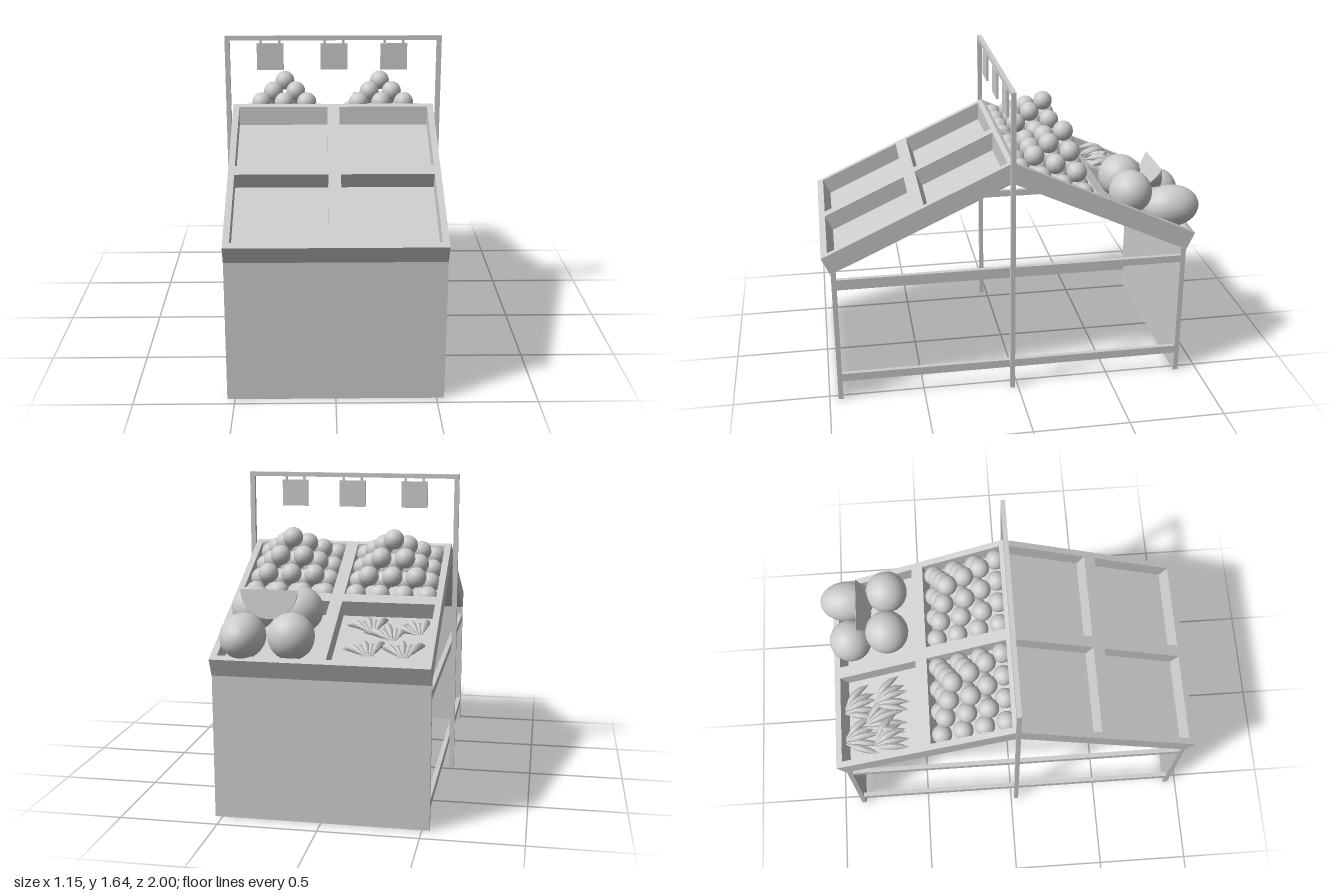
import * as THREE from 'three';

const RIDGE_Y = 1.27, RIDGE_Z = 0.0275, WIDTH = 1.076;
const TILT = Math.atan(0.464), LENGTH = 1.07, CAVITY = 0.09, FLOOR = 0.01;
const mat = new THREE.MeshStandardMaterial({ color: 0xcccccc });
const openMat = new THREE.MeshStandardMaterial({ color: 0xcccccc, side: THREE.DoubleSide });

function add(parent, name, geometry, x = 0, y = 0, z = 0, material = mat) {
  const mesh = new THREE.Mesh(geometry, material);
  mesh.name = name;
  mesh.position.set(x, y, z);
  parent.add(mesh);
  return mesh;
}

// Box given by its limits on each axis
function box(parent, name, [x0, x1], [y0, y1], [z0, z1]) {
  return add(parent, name, new THREE.BoxGeometry(x1 - x0, y1 - y0, z1 - z0),
    (x0 + x1) / 2, (y0 + y1) / 2, (z0 + z1) / 2);
}

function rectangle(target, x0, x1, y0, y1) {
  return target.moveTo(x0, y0).lineTo(x1, y0).lineTo(x1, y1).lineTo(x0, y1).closePath();
}

// Cut the ridge end vertical so that both trays meet in a clean mitre
function mitre(geometry) {
  const p = geometry.attributes.position;
  for (let i = 0; i < p.count; i++) {
    if (p.getZ(i) < 0.03) p.setZ(i, p.getZ(i) - p.getY(i) * Math.tan(TILT));
  }
  geometry.computeVertexNormals();
  return geometry;
}

// Sloping tray: local z runs downhill from the ridge, local y is its normal
function makeTray(name) {
  const tray = new THREE.Group();
  tray.name = name;
  tray.position.set(0, RIDGE_Y, RIDGE_Z);
  const shape = rectangle(new THREE.Shape(), -WIDTH / 2, WIDTH / 2, 0, LENGTH);
  for (const [x0, x1] of [[-0.505, -0.032], [0.032, 0.505]]) {
    for (const [u0, u1] of [[0.025, 0.493], [0.56, 1.034]]) {
      shape.holes.push(rectangle(new THREE.Path(), x0, x1, u0, u1));
    }
  }
  const frame = new THREE.ExtrudeGeometry(shape, { depth: CAVITY, bevelEnabled: false });
  add(tray, 'trayFrame', mitre(frame.rotateX(Math.PI / 2)));
  const base = new THREE.BoxGeometry(WIDTH, FLOOR, LENGTH);
  add(tray, 'trayFloor', mitre(base.translate(0, -CAVITY - FLOOR / 2, LENGTH / 2)));
  return tray;
}

// Square pyramid of round fruit resting in a compartment
function fruitPile(parent, cx) {
  const pile = new THREE.Group();
  pile.name = 'fruitPile';
  const ball = new THREE.SphereGeometry(0.053, 16, 12);
  for (let layer = 0; layer < 4; layer++) {
    const n = 4 - layer;
    for (let i = 0; i < n; i++) {
      for (let j = 0; j < n; j++) {
        add(pile, 'roundFruit', ball, cx + (i - (n - 1) / 2) * 0.124,
          -0.037 + layer * 0.074, 0.256 + (j - (n - 1) / 2) * 0.124);
      }
    }
  }
  parent.add(pile);
}

// Curved, pointed fruit lying along +z
function longFruit(length) {
  const profile = [[0.004, 0], [0.007, 0.12], [0.017, 0.3], [0.02, 0.5], [0.016, 0.75], [0.001, 1]];
  const g = new THREE.LatheGeometry(
    profile.map(([r, t]) => new THREE.Vector2(r, t * length)), 7).rotateX(Math.PI / 2);
  g.scale(-1, -1, 1); // half turn about its own axis
  const p = g.attributes.position;
  for (let i = 0; i < p.count; i++) {
    p.setY(i, p.getY(i) + Math.sin(Math.PI * p.getZ(i) / length) * 0.025);
  }
  g.computeVertexNormals();
  return g;
}

// Fan of long fruit joined at the stem
function bunch(parent, x, z, length, turn) {
  const group = new THREE.Group();
  group.name = 'longFruitBunch';
  group.position.set(x, 0.005, z);
  const g = longFruit(length);
  for (let i = 0; i < 5; i++) {
    const fruit = add(group, 'longFruit', g, (2 - i) * 0.008, 0, 0, openMat);
    fruit.rotation.set(0.3 + 0.14 * (i % 2), Math.PI + turn + (i - 2) * 0.27, 0, 'YXZ');
  }
  parent.add(group);
}

// Wedge cut from a round melon, straight edge up
function melonSlice(parent) {
  const slice = new THREE.Group();
  slice.name = 'melonSlice';
  slice.position.set(0.275, 1.14, -0.78);
  const r = 0.143, start = -0.14, sweep = 0.65;
  const rind = new THREE.SphereGeometry(r, 8, 20, start, sweep).rotateZ(Math.PI / 2);
  add(slice, 'sliceRind', rind, 0, 0, 0, openMat);
  for (const a of [start, start + sweep]) {
    const face = new THREE.CircleGeometry(r, 20, Math.PI, Math.PI).rotateX(-a);
    add(slice, 'sliceFace', face, 0, 0, 0, openMat);
  }
  parent.add(slice);
}

export function createModel() {
  const model = new THREE.Group();
  model.name = 'marketStall';

  // End panels and side rails
  box(model, 'frontPanel', [-0.538, 0.538], [0, 0.737], [0.928, 0.954]);
  box(model, 'backPanel', [-0.538, 0.538], [0, 0.737], [-0.899, -0.873]);
  for (const s of [-1, 1]) {
    for (const [y0, y1] of [[0.107, 0.15], [0.657, 0.695]]) {
      box(model, 'sideRail', [s * 0.526 - 0.012, s * 0.526 + 0.012], [y0, y1], [-0.875, 0.93]);
    }
  }

  // Sign frame
  for (const s of [-1, 1]) {
    box(model, 'signPost', [s * 0.562 - 0.013, s * 0.562 + 0.013], [0, 1.62], [0.018, 0.042]);
  }
  box(model, 'signBar', [-0.575, 0.575], [1.62, 1.643], [0.018, 0.042]);
  for (const x of [-0.335, 0.004, 0.322]) {
    box(model, 'sign', [x - 0.071, x + 0.071], [1.46, 1.602], [0.024, 0.036]);
    for (const s of [-1, 1]) {
      const hx = x + s * 0.049;
      box(model, 'signHanger', [hx - 0.006, hx + 0.006], [1.595, 1.625], [0.026, 0.034]);
    }
  }

  // Trays
  const front = makeTray('frontTray');
  front.rotation.x = TILT;
  const back = makeTray('backTray');
  back.rotation.set(TILT, Math.PI, 0, 'YXZ');
  model.add(front, back);

  // Produce in the back tray
  fruitPile(back, -0.266);
  fruitPile(back, 0.268);
  bunch(back, 0.4, 1.0, 0.19, 0.15);
  bunch(back, 0.23, 1.0, 0.18, 0.3);
  bunch(back, 0.45, 0.82, 0.18, 0.45);
  bunch(back, 0.33, 0.87, 0.22, 0.3);
  bunch(back, 0.22, 0.81, 0.18, 0.3);

  // Melons
  const melon = new THREE.SphereGeometry(1, 24, 18);
  for (const [x, y, z, r, rz] of [
    [0.153, 1.016, -0.63, 0.117, 0.117], [0.39, 1.016, -0.625, 0.113, 0.113],
    [0.153, 0.925, -0.836, 0.115, 0.115], [0.39, 0.922, -0.85, 0.111, 0.15],
  ]) {
    add(model, 'melon', melon, x, y, z).scale.set(r, r, rz);
  }
  melonSlice(model);
  return model;
}
